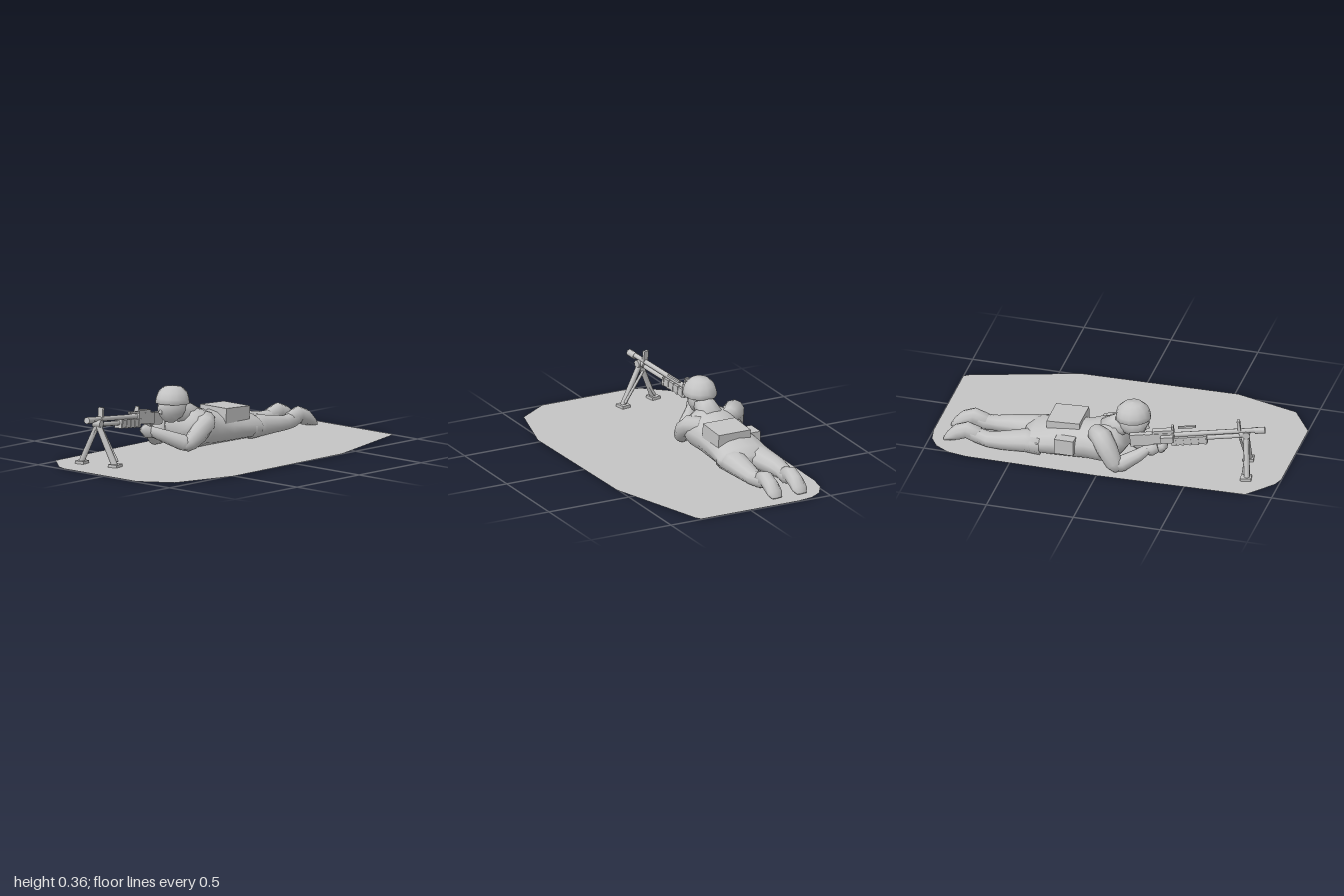
import * as THREE from 'three';

export function createModel() {
  const model = new THREE.Group();
  const grey = new THREE.MeshStandardMaterial({ color: 0xc4c4c4, side: THREE.DoubleSide });
  grey.name = 'grey plastic';

  const add = (name, geometry, parent = model) => {
    const mesh = new THREE.Mesh(geometry, grey);
    mesh.name = name;
    parent.add(mesh);
    return mesh;
  };

  // Closed loft along points [x, y, z, halfWidth, halfHeight]; flattened where it meets the ground
  const loft = (name, points, sides = 10) => {
    const centres = points.map(p => new THREE.Vector3(p[0], p[1], p[2]));
    const up = new THREE.Vector3(0, 1, 0), pos = [], idx = [], n = points.length;
    points.forEach((p, i) => {
      const t = centres[Math.min(i + 1, n - 1)].clone().sub(centres[Math.max(i - 1, 0)]).normalize();
      const s = up.clone().cross(t).normalize(), u = t.clone().cross(s);
      for (let j = 0; j < sides; j++) {
        const a = ((j + 0.5) / sides) * Math.PI * 2;
        const v = centres[i].clone().addScaledVector(s, Math.cos(a) * p[3]).addScaledVector(u, Math.sin(a) * p[4]);
        pos.push(v.x, Math.max(v.y, 0), v.z);
      }
    });
    for (const c of [centres[0], centres[n - 1]]) pos.push(c.x, Math.max(c.y, 0), c.z);
    for (let j = 0; j < sides; j++) {
      const k = (j + 1) % sides;
      for (let i = 0; i < n - 1; i++) {
        const a = i * sides + j, b = i * sides + k;
        idx.push(a, b, b + sides, a, b + sides, a + sides);
      }
      idx.push(n * sides, k, j, n * sides + 1, (n - 1) * sides + j, (n - 1) * sides + k);
    }
    const g = new THREE.BufferGeometry();
    g.setAttribute('position', new THREE.Float32BufferAttribute(pos, 3));
    g.setIndex(idx);
    g.computeVertexNormals();
    return add(name, g);
  };

  // Tapered bar between two points
  const bar = (name, from, to, r1, r2, sides = 6) => {
    const a = new THREE.Vector3(...from), b = new THREE.Vector3(...to);
    const mesh = add(name, new THREE.CylinderGeometry(r2, r1, a.distanceTo(b), sides));
    mesh.position.copy(a).lerp(b, 0.5);
    mesh.quaternion.setFromUnitVectors(new THREE.Vector3(0, 1, 0), b.sub(a).normalize());
    return mesh;
  };

  // Thin ground sheet
  const outline = [[-0.53, -0.75], [-0.51, -0.86], [-0.46, -0.94], [-0.39, -0.985], [-0.3, -1], [0.31, -1],
    [0.33, -0.97], [0.51, -0.38], [0.53, 0.52], [0.43, 0.88], [0.25, 1], [-0.3, 1], [-0.36, 0.98],
    [-0.51, 0.85], [-0.535, 0]];
  const ground = new THREE.ShapeGeometry(new THREE.Shape(outline.map(([x, z]) => new THREE.Vector2(x, -z))));
  add('groundSheet', ground.rotateX(-Math.PI / 2)).position.y = 0.003;

  // Torso, from hips to neck
  loft('torso', [
    [-0.275, 0.06, -0.47, 0.12, 0.04], [-0.275, 0.065, -0.41, 0.165, 0.075], [-0.28, 0.075, -0.3, 0.155, 0.09],
    [-0.28, 0.08, -0.2, 0.145, 0.1], [-0.28, 0.085, -0.1, 0.14, 0.105], [-0.285, 0.1, -0.02, 0.17, 0.115],
    [-0.29, 0.13, 0.04, 0.165, 0.105], [-0.29, 0.16, 0.09, 0.1, 0.075]], 14);
  loft('neck', [[-0.285, 0.16, 0, 0.085, 0.07], [-0.285, 0.2, 0.06, 0.065, 0.065], [-0.285, 0.23, 0.13, 0.055, 0.055]]);

  // Belt gear
  const pack = add('backPack', new THREE.BoxGeometry(0.2, 0.1, 0.19));
  pack.position.set(-0.25, 0.15, -0.24);
  pack.rotation.x = -0.05;
  const pouch = add('hipPouch', new THREE.BoxGeometry(0.06, 0.09, 0.11));
  pouch.position.set(-0.42, 0.1, -0.21);

  // Legs with boots resting on their toes
  for (const [side, hip, knee, ankle] of [['right', -0.36, -0.385, -0.365], ['left', -0.2, -0.2, -0.21]]) {
    loft(side + 'Leg', [
      [hip, 0.06, -0.36, 0.085, 0.065], [hip, 0.06, -0.45, 0.077, 0.062], [knee, 0.052, -0.58, 0.062, 0.05],
      [knee, 0.046, -0.66, 0.05, 0.042], [ankle, 0.05, -0.73, 0.042, 0.044], [ankle, 0.07, -0.79, 0.04, 0.042]]);
    loft(side + 'Boot', [
      [ankle, 0.055, -0.72, 0.038, 0.045], [ankle, 0.075, -0.79, 0.043, 0.048], [ankle, 0.055, -0.84, 0.045, 0.045],
      [ankle, 0.025, -0.89, 0.045, 0.026], [ankle, 0.008, -0.915, 0.03, 0.01]]);
  }

  // Arms: upper arm, forearm and hand
  loft('rightUpperArm', [
    [-0.37, 0.18, -0.05, 0.05, 0.05], [-0.42, 0.185, 0, 0.062, 0.062], [-0.44, 0.12, 0.04, 0.058, 0.06],
    [-0.452, 0.05, 0.08, 0.046, 0.05], [-0.45, 0.02, 0.11, 0.035, 0.035]]);
  loft('rightForearm', [
    [-0.465, 0.035, 0.07, 0.03, 0.035], [-0.44, 0.045, 0.12, 0.045, 0.045], [-0.395, 0.085, 0.2, 0.036, 0.036],
    [-0.37, 0.12, 0.25, 0.026, 0.028]]);
  loft('rightHand', [
    [-0.375, 0.11, 0.23, 0.024, 0.025], [-0.36, 0.115, 0.27, 0.032, 0.036], [-0.345, 0.125, 0.3, 0.022, 0.03]], 8);
  loft('leftUpperArm', [
    [-0.2, 0.15, -0.04, 0.05, 0.05], [-0.155, 0.14, 0.02, 0.06, 0.055], [-0.15, 0.09, 0.08, 0.05, 0.055],
    [-0.165, 0.045, 0.13, 0.045, 0.045], [-0.18, 0.025, 0.16, 0.032, 0.032]]);
  loft('leftForearm', [
    [-0.165, 0.035, 0.12, 0.035, 0.035], [-0.19, 0.05, 0.16, 0.045, 0.045], [-0.26, 0.09, 0.24, 0.036, 0.036],
    [-0.31, 0.12, 0.3, 0.026, 0.028]]);
  loft('leftHand', [
    [-0.3, 0.105, 0.28, 0.025, 0.028], [-0.32, 0.115, 0.31, 0.032, 0.036], [-0.33, 0.14, 0.335, 0.026, 0.026]], 8);

  // Head, leaning over the stock
  loft('head', [
    [-0.288, 0.23, 0.07, 0.045, 0.045], [-0.288, 0.235, 0.11, 0.068, 0.07], [-0.29, 0.225, 0.16, 0.07, 0.078],
    [-0.292, 0.22, 0.2, 0.056, 0.068], [-0.295, 0.21, 0.222, 0.03, 0.045]], 12);
  bar('nose', [-0.293, 0.248, 0.216], [-0.297, 0.208, 0.232], 0.006, 0.013, 5);
  const profile = [[0, 0.02], [0.088, 0.005], [0.1, 0], [0.096, 0.028], [0.084, 0.062], [0.052, 0.09], [0, 0.098]];
  const helmet = add('helmet', new THREE.LatheGeometry(profile.map(p => new THREE.Vector2(...p)), 12));
  helmet.position.set(-0.285, 0.26, 0.145);
  helmet.scale.set(0.95, 1, 1.02);
  helmet.rotation.x = -0.05;

  // Machine gun, barrel along its own +z
  const gun = new THREE.Group();
  gun.name = 'machineGun';
  gun.position.set(-0.37, 0.175, 0.16);
  gun.lookAt(-0.235, 0.264, 0.89);
  model.add(gun);
  const gunBox = (name, w, h, d, x, y, z) => add(name, new THREE.BoxGeometry(w, h, d), gun).position.set(x, y, z);
  const gunTube = (name, r, z0, z1, y = 0, sides = 8) =>
    add(name, new THREE.CylinderGeometry(r, r, z1 - z0, sides).rotateX(Math.PI / 2), gun).position.set(0, y, (z0 + z1) / 2);
  gunBox('stock', 0.03, 0.07, 0.12, 0, -0.008, 0.05);
  gunBox('receiver', 0.042, 0.062, 0.16, 0, -0.003, 0.16);
  gunBox('feedCover', 0.036, 0.02, 0.12, 0, 0.034, 0.18);
  gunBox('feedTray', 0.04, 0.035, 0.07, -0.03, 0, 0.2);
  gunBox('pistolGrip', 0.024, 0.07, 0.035, 0, -0.06, 0.12);
  gunBox('handguard', 0.046, 0.045, 0.2, 0, -0.026, 0.32);
  for (let i = 0; i < 5; i++) gunBox('handguardRib', 0.052, 0.05, 0.012, 0, -0.026, 0.24 + i * 0.042);
  gunBox('rearSight', 0.024, 0.03, 0.012, 0, 0.05, 0.235);
  gunBox('carryHandle', 0.012, 0.012, 0.1, 0.028, 0.035, 0.31);
  gunTube('barrel', 0.014, 0.22, 0.72, 0.008);
  gunTube('gasTube', 0.013, 0.4, 0.62, -0.022);
  gunTube('gasCollar', 0.02, 0.6, 0.63, -0.012);
  gunTube('flashHider', 0.019, 0.69, 0.747, 0.004);
  gunBox('frontSight', 0.03, 0.062, 0.016, 0, 0.042, 0.605);

  // Bipod with flat feet
  const apex = [-0.25, 0.235, 0.785];
  bar('bipodHinge', [-0.275, 0.235, 0.79], [-0.225, 0.235, 0.78], 0.022, 0.022, 8);
  for (const [side, x, z] of [['right', -0.345, 0.815], ['left', -0.135, 0.77]]) {
    bar(side + 'BipodLeg', apex, [x, 0.012, z], 0.016, 0.018);
    bar(side + 'BipodStrut', [apex[0], 0.2, z - 0.02], [x, 0.03, z - 0.022], 0.008, 0.008);
    const foot = add(side + 'BipodFoot', new THREE.BoxGeometry(0.055, 0.018, 0.06));
    foot.position.set(x, 0.01, z - 0.005);
    foot.rotation.y = 0.18;
  }
  return model;
}
